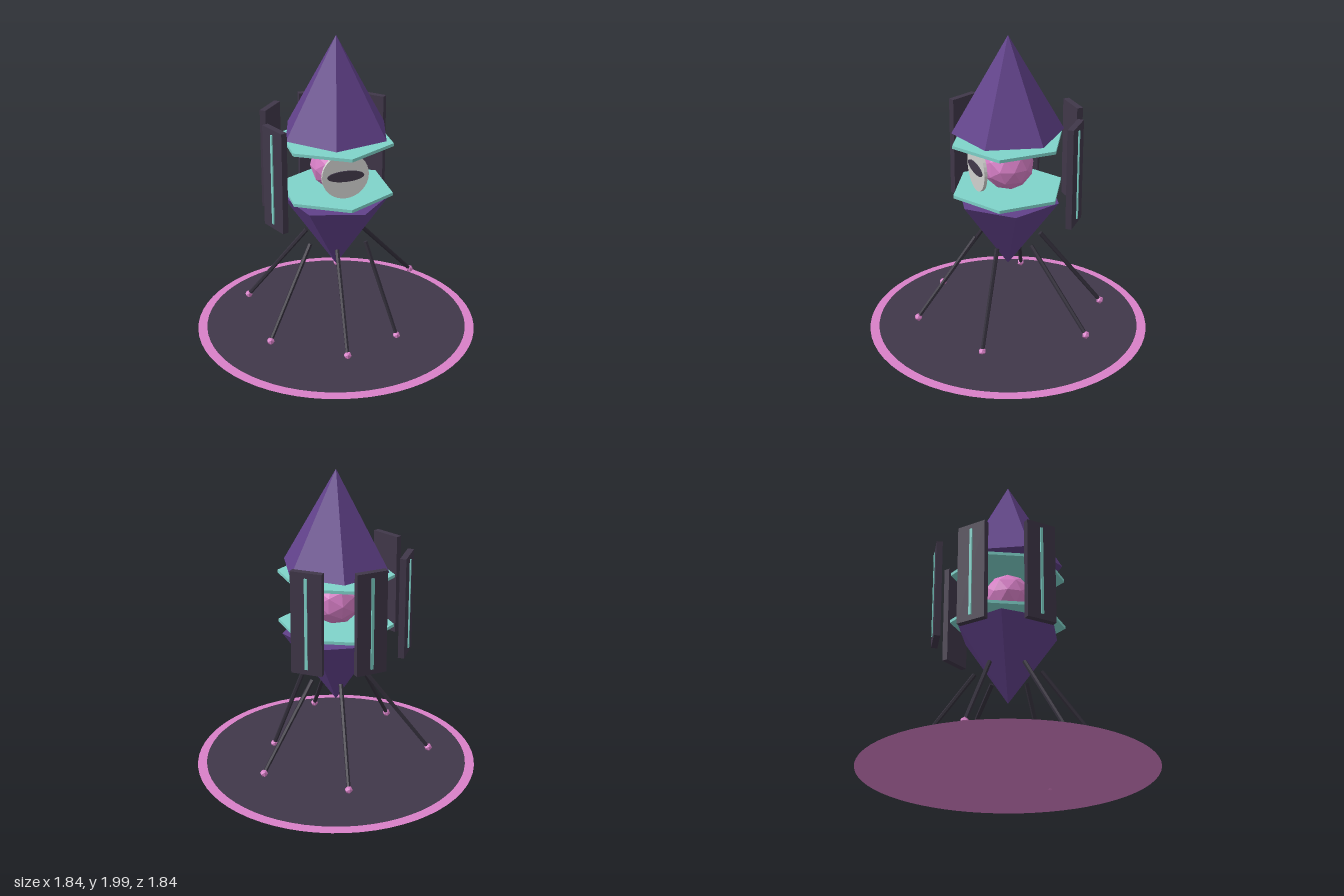
import * as THREE from 'three';

function mat(name, color, extra = {}) {
  const m = new THREE.MeshStandardMaterial({ color, flatShading: true, ...extra });
  m.name = name;
  return m;
}

export function createModel() {
  const root = new THREE.Group();
  root.name = 'hexSpireWalker';

  const purple = mat('purple', 0x61418a);
  const pink = mat('pink', 0xd980c8, { side: THREE.DoubleSide });
  const dark = mat('darkSlate', 0x403749, { side: THREE.DoubleSide });
  const charcoal = mat('charcoal', 0x34303c);
  const teal = mat('teal', 0x7fd3ca);
  const grey = mat('lightGrey', 0xd0d0ce);

  const add = (name, geometry, material, x = 0, y = 0, z = 0, parent = root) => {
    const mesh = new THREE.Mesh(geometry, material);
    mesh.name = name;
    mesh.position.set(x, y, z);
    parent.add(mesh);
    return mesh;
  };

  // Hexagonal spires above and below
  add('upperSpire', new THREE.ConeGeometry(0.355, 0.62, 6), purple, 0, 1.69, 0).rotation.y = -0.12;
  add('lowerSpire', new THREE.CylinderGeometry(0.345, 0, 0.49, 6), purple, 0, 0.695, 0).rotation.y = 0.42;

  // Teal plates on either side of the core
  for (const [name, y] of [['upperPlate', 1.325], ['lowerPlate', 0.99]]) {
    add(name, new THREE.CylinderGeometry(0.37, 0.37, 0.02, 6), teal, 0, y, 0).rotation.y = 0.14;
  }

  // Faceted core
  add('core', new THREE.IcosahedronGeometry(0.166, 1), pink, 0, 1.16, 0);

  // Eye disc with a flat oval pupil
  const eye = new THREE.Group();
  eye.name = 'eye';
  eye.position.y = 1.163;
  eye.rotation.y = 0.145;
  root.add(eye);
  add('eyeDisc', new THREE.CylinderGeometry(0.15, 0.15, 0.02, 32), grey, 0, 0, 0.208, eye).rotation.x = Math.PI / 2;
  const pupil = add('pupil', new THREE.CylinderGeometry(0.118, 0.118, 0.008, 32), dark, 0, 0, 0.222, eye);
  pupil.rotation.x = Math.PI / 2;
  pupil.scale.z = 0.3;

  // Floating panels: x, z, heading; each has a stripe on its outer face
  const panels = [[-0.095, -0.45, -2.976], [0.275, -0.355, 2.53], [-0.395, -0.21, -2.13], [-0.4, 0.203, -1.04]];
  for (const [x, z, heading] of panels) {
    const panel = new THREE.Group();
    panel.name = 'panel';
    panel.position.set(x, 1.16, z);
    panel.rotation.y = heading;
    root.add(panel);
    add('panelSlab', new THREE.BoxGeometry(0.2, 0.66, 0.04), dark, 0, 0, 0, panel);
    add('panelStripe', new THREE.BoxGeometry(0.018, 0.59, 0.009), teal, 0, 0, 0.023, panel);
  }

  // Splayed legs: top x, z, then foot x, y, z
  const legs = [
    [-0.02, 0.21, -0.005, 0.12, 0.605],
    [0.175, 0.115, 0.365, 0.03, 0.26],
    [0.185, -0.105, 0.565, 0.18, -0.365],
    [0.025, -0.21, 0.085, 0.13, -0.615],
    [-0.18, -0.11, -0.567, 0.13, -0.235],
    [-0.18, 0.105, -0.464, 0.105, 0.35],
  ];
  const up = new THREE.Vector3(0, 1, 0);
  for (const [tx, tz, fx, fy, fz] of legs) {
    const top = new THREE.Vector3(tx, 0.655, tz);
    const foot = new THREE.Vector3(fx, fy, fz);
    const along = top.clone().sub(foot);
    const mid = top.clone().add(foot).multiplyScalar(0.5);
    const leg = add('leg', new THREE.CylinderGeometry(0.015, 0.013, along.length(), 6), charcoal, mid.x, mid.y, mid.z);
    leg.quaternion.setFromUnitVectors(up, along.normalize());
    add('foot', new THREE.IcosahedronGeometry(0.026, 0), pink, fx, fy, fz);
  }

  // Ground platform: pink disc with a dark inner disc
  add('platformRim', new THREE.CircleGeometry(0.92, 64), pink, 0, 0.014, 0).rotation.x = -Math.PI / 2;
  add('platformTop', new THREE.CircleGeometry(0.86, 64), dark, 0, 0.021, 0).rotation.x = -Math.PI / 2;

  return root;
}
